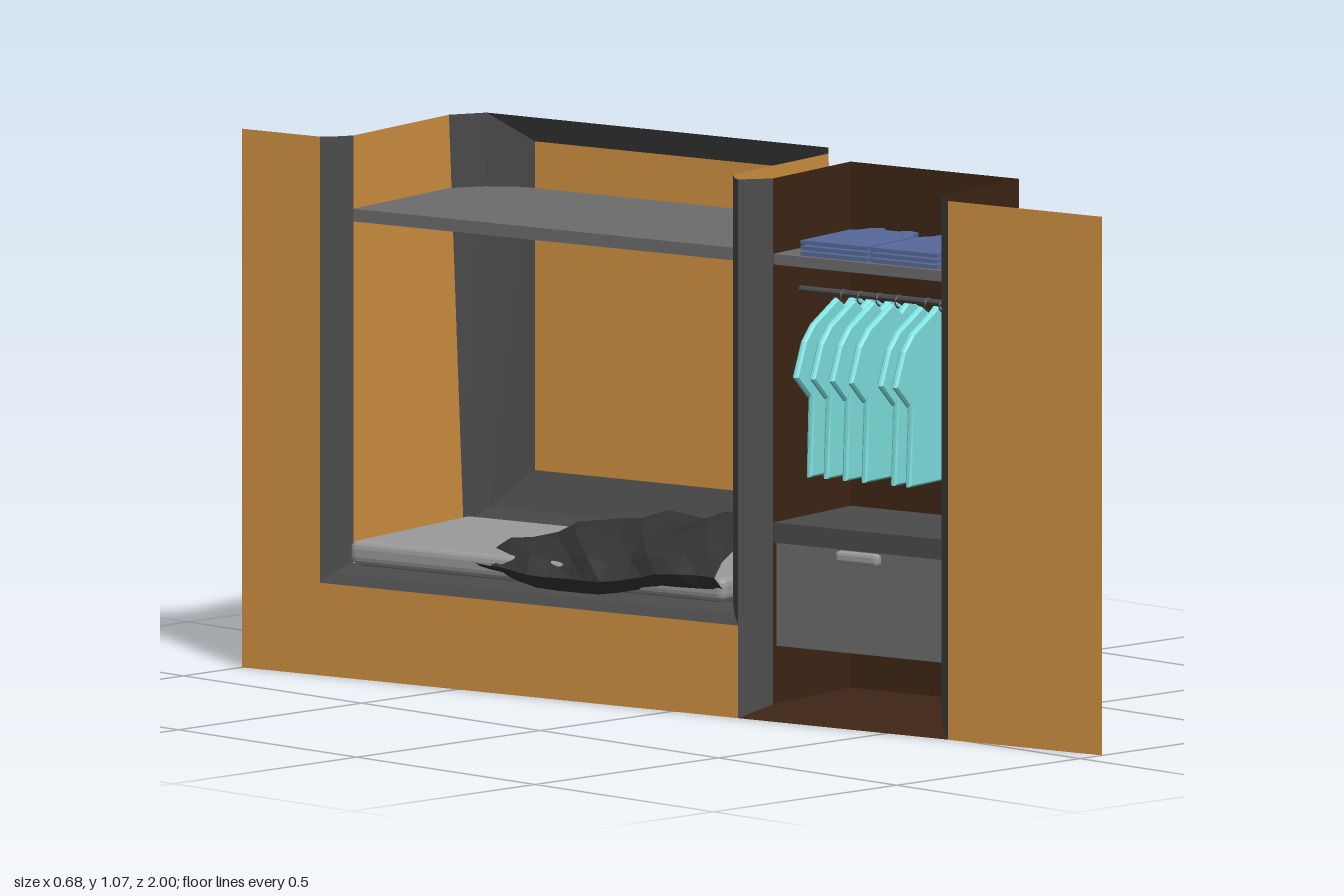
import * as THREE from 'three';
import { RoundedBoxGeometry } from 'three/addons/geometries/RoundedBoxGeometry.js';

// Local frame: x = depth behind the wall, y = up, z = along the wall.
const TOP = 1.065, HALF = 1.02;
const mat = (color) => new THREE.MeshStandardMaterial({ color, flatShading: true, side: THREE.DoubleSide });

export function createModel() {
  const model = new THREE.Group();
  const room = new THREE.Group();
  room.name = 'sleepingNook';
  room.rotation.y = Math.atan(0.2);
  room.position.x = -0.14;
  model.add(room);

  const tan = mat(0xd09040), dark = mat(0x4a4a4a), grey = mat(0x6c6c6c), light = mat(0x9a9a9a);
  const brown = mat(0x3e2616), cyan = mat(0x80e2e2), blue = mat(0x56699a), black = mat(0x333333);

  const add = (name, geometry, material) => {
    const mesh = new THREE.Mesh(geometry, material);
    mesh.name = name;
    room.add(mesh);
    return mesh;
  };
  // Box given by its limits in depth, height and length
  const box = (name, [x0, x1], [y0, y1], [z0, z1], material) =>
    add(name, new THREE.BoxGeometry(x1 - x0, y1 - y0, z1 - z0)
      .translate((x0 + x1) / 2, (y0 + y1) / 2, (z0 + z1) / 2), material);
  // Surface through rows of equally many points
  const loft = (name, rows, material) => {
    const n = rows[0].length, index = [];
    for (let i = 0; i < rows.length - 1; i++)
      for (let j = 0; j < n - 1; j++) {
        const a = i * n + j;
        index.push(a, a + 1, a + n, a + 1, a + n + 1, a + n);
      }
    const g = new THREE.BufferGeometry();
    g.setAttribute('position', new THREE.Float32BufferAttribute(rows.flat(2), 3));
    g.setIndex(index);
    g.computeVertexNormals();
    return add(name, g, material);
  };
  // U-shaped row: down one side, along the bottom, up the other side
  const ring = (x, z0, z1, y0, xBottom = x, y1 = TOP) =>
    [[x, y1, z0], [xBottom, y0, z0], [xBottom, y0, z1], [x, y1, z1]];
  const closed = (r) => [...r, r[0]];

  // Wall sheet around both openings
  const wall = new THREE.Shape([
    [-HALF, 0], [0.157, 0], [0.157, 0.183], [-0.835, 0.183], [-0.835, TOP], [-HALF, TOP],
  ].map((p) => new THREE.Vector2(...p)));
  add('wall', new THREE.ShapeGeometry(wall).rotateY(-Math.PI / 2), tan);
  const side = new THREE.Shape([
    [0.655, 0], [HALF, 0], [HALF, TOP], [0.655, TOP],
  ].map((p) => new THREE.Vector2(...p)));
  add('wallEnd', new THREE.ShapeGeometry(side).rotateY(-Math.PI / 2), tan);

  // Bed alcove: rounded trim, end walls, bevelled back
  const trimInner = ring(0.05, -0.79, 0.11, 0.22);
  const backEdge = ring(0.38, -0.79, 0.11, 0.248, 0.43);
  const backMid = ring(0.445, -0.745, 0.065, 0.285, 0.455);
  const backPanel = ring(0.488, -0.66, -0.01, 0.36, 0.488, 1.01);
  loft('bedOpeningTrim', [ring(0, -0.835, 0.157, 0.183), ring(0.016, -0.815, 0.137, 0.203), trimInner], dark);
  for (const k of [0, 2])
    loft('bedEndWall', [trimInner.slice(k, k + 2), backEdge.slice(k, k + 2)], tan);
  loft('bedBackOuterBevel', [backEdge, backMid], dark);
  loft('bedBackInnerBevel', [closed(backMid), closed(backPanel)], dark);
  loft('bedBackPanel', [[backPanel[0], backPanel[3]], [backPanel[1], backPanel[2]]], tan);

  // Ceiling follows the bevelled back corners
  const ceiling = new THREE.Shape([
    [0.05, -0.79], [0.38, -0.79], [0.44, -0.745], [0.475, -0.68],
    [0.475, 0], [0.44, 0.065], [0.38, 0.11], [0.05, 0.11],
  ].map((p) => new THREE.Vector2(...p)));
  add('bedCeiling', new THREE.ExtrudeGeometry(ceiling, { depth: 0.025, bevelEnabled: false })
    .rotateX(Math.PI / 2).translate(0, 0.92, 0), grey);

  // Bed base and mattress
  box('bedBase', [0.045, 0.4], [0.205, 0.228], [-0.765, 0.085], dark);
  add('mattress', new RoundedBoxGeometry(0.41, 0.048, 0.89, 2, 0.016).translate(0.23, 0.244, -0.34), light);

  // Rumpled blanket, higher toward the wardrobe
  const blanket = [];
  const profile = [[0.02, 0], [-0.005, 0.25], [0.03, 0.55], [0.11, 0.85], [0.2, 0.95], [0.31, 1], [0.39, 0.85], [0.42, 0.3]];
  for (let i = 0; i <= 12; i++) {
    const t = i / 12, z = -0.47 + 0.57 * t;
    const h = 0.045 + 0.09 * Math.min(1, t * 2.2) * (0.85 + 0.15 * Math.sin(t * 9));
    const base = 0.245 - 0.035 * Math.sin(Math.PI * Math.min(1, t * 1.3));
    blanket.push(profile.map(([x, f], j) => [
      x + 0.01 * Math.sin(i * 1.7 + j),
      base + f * (0.225 + h - base) + (j > 1 && j < 7 ? 0.007 * Math.sin(i * 2.1 + j * 1.9) : 0),
      z + 0.05 * (1 - t) * Math.sin(j * 1.3),
    ]));
  }
  blanket.unshift(blanket[0].map(([x, , z]) => [x, 0.25, z - 0.01]));
  loft('blanket', blanket, black);

  // Wardrobe: trims, carcass, floor
  for (const [a, b, c] of [[0.157, 0.172, 0.205], [0.655, 0.636, 0.605]]) {
    loft('wardrobeTrim', [[0, a], [0.016, b], [0.05, c]].map(([x, z]) => [[x, 0, z], [x, TOP, z]]), dark);
  }
  loft('wardrobeCarcass', [0, TOP].map((y) =>
    [[0.05, y, 0.205], [0.318, y, 0.205], [0.318, y, 0.605], [0.05, y, 0.605]]), brown);
  loft('wardrobeFloor', [
    [[0, 0, 0.157], [0, 0, 0.655]],
    [[0.05, 0.025, 0.205], [0.05, 0.025, 0.605]],
    [[0.318, 0.025, 0.205], [0.318, 0.025, 0.605]],
  ], brown);

  // Shelf, drawer, handle and hanging rail
  box('wardrobeShelf', [0.05, 0.317], [0.895, 0.916], [0.206, 0.604], grey);
  box('drawer', [0.06, 0.316], [0.14, 0.345], [0.207, 0.603], grey);
  box('drawerTop', [0.05, 0.317], [0.345, 0.385], [0.206, 0.604], dark);
  add('drawerHandle', new RoundedBoxGeometry(0.022, 0.024, 0.1, 1, 0.007).translate(0.055, 0.33, 0.405), light);
  add('hangingRail', new THREE.CylinderGeometry(0.007, 0.007, 0.402, 8)
    .rotateX(Math.PI / 2).translate(0.145, 0.835, 0.406), dark);

  // Hanging shirts
  const half = [[0.03, 0.825], [0.11, 0.785], [0.14, 0.755], [0.168, 0.69], [0.125, 0.65], [0.112, 0.68], [0.12, 0.49]];
  const outline = [...half, ...half.map(([x, y]) => [-x, y]).reverse(), [0, 0.805]];
  const shirt = new THREE.ExtrudeGeometry(
    new THREE.Shape(outline.map((p) => new THREE.Vector2(...p))),
    { depth: 0.006, bevelSize: 0.004, bevelThickness: 0.004, bevelSegments: 1 });
  for (const z of [0.305, 0.345, 0.39, 0.435, 0.505, 0.54]) {
    add('hangingShirt', shirt, cyan).position.set(0.147, 0, z);
    const hook = add('hangerHook', new THREE.TorusGeometry(0.012, 0.002, 4, 10, Math.PI * 1.5), dark);
    hook.position.set(0.145, 0.83, z + 0.003);
  }

  // Two stacks of folded shirts with collars
  const folded = new THREE.Shape([
    [0.058, 0.003], [0.225, 0.003], [0.24, 0.018], [0.272, 0.026], [0.28, 0.05], [0.262, 0.065],
    [0.262, 0.095], [0.28, 0.11], [0.272, 0.136], [0.24, 0.144], [0.225, 0.16], [0.058, 0.16],
  ].map((p) => new THREE.Vector2(...p)));
  const layer = new THREE.ExtrudeGeometry(folded, { depth: 0.008, bevelEnabled: false }).rotateX(Math.PI / 2);
  for (const z of [0.262, 0.428])
    for (let k = 0; k < 3; k++)
      add('foldedShirt', layer, blue).position.set(0, 0.925 + k * 0.011, z);

  return model;
}
